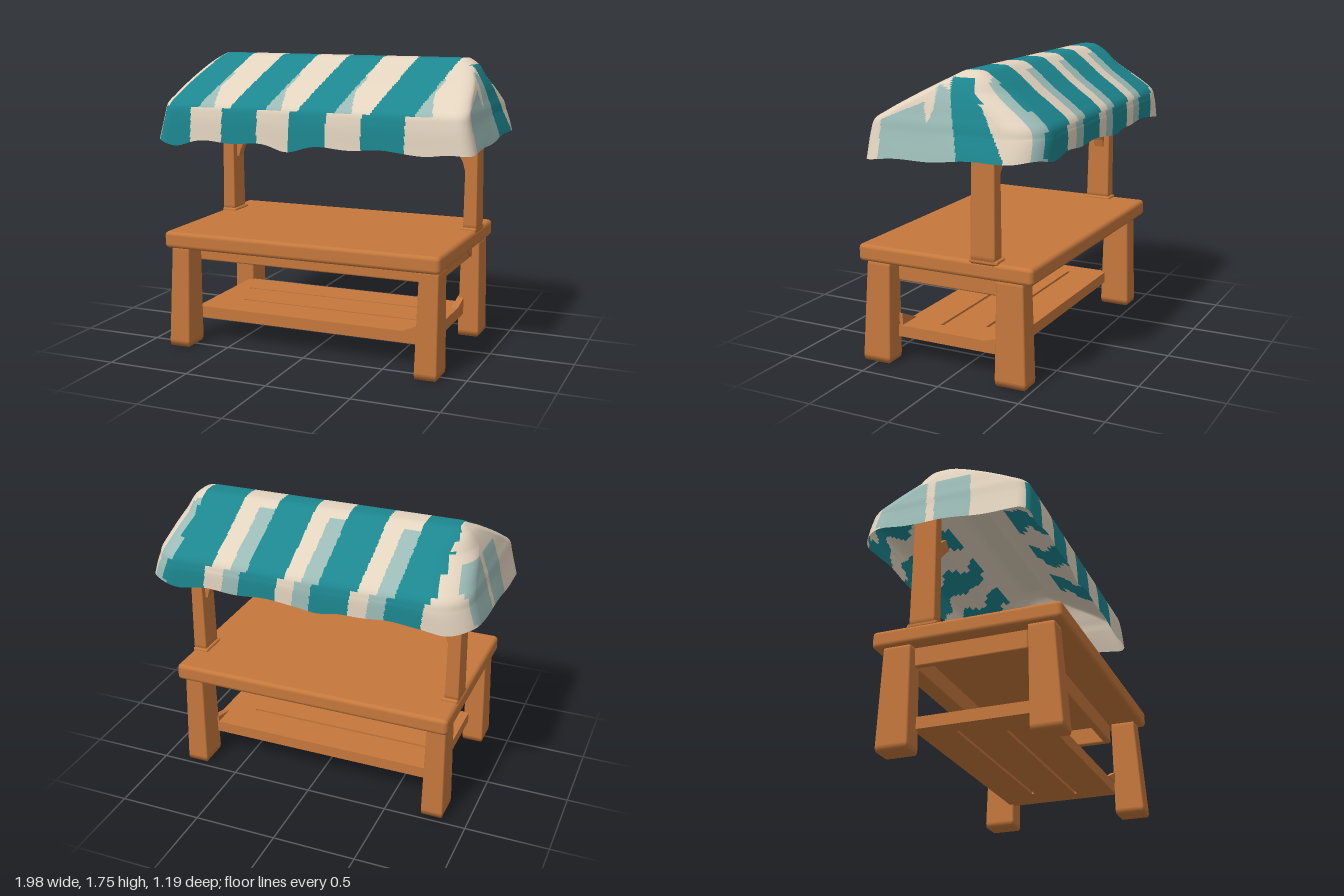
import * as THREE from 'three';
import { mergeVertices } from 'three/addons/utils/BufferGeometryUtils.js';
import { RoundedBoxGeometry } from 'three/addons/geometries/RoundedBoxGeometry.js';

const mat = (name, color) => {
  const m = new THREE.MeshStandardMaterial({ color });
  m.name = name;
  return m;
};

// Rows of the awning from ridge to hem: front z, back z, height, half length
const ROWS = [
  [-0.13, -0.13, 1.745, 0.785], [-0.07, -0.19, 1.74, 0.8], [0.0, -0.25, 1.705, 0.845],
  [0.19, -0.38, 1.605, 0.9], [0.36, -0.52, 1.51, 0.93], [0.432, -0.575, 1.46, 0.945],
  [0.45, -0.588, 1.4, 0.955], [0.462, -0.593, 1.25, 0.99],
];

// One closed loop of the awning; each point also says which side it lies on
function awningRing(zf, zb, xe) {
  const depth = zf - zb;
  const rf = Math.min(0.07, depth * 0.4), rb = Math.min(0.19, depth * 0.4);
  const corners = [
    [xe - rf, zf - rf, rf, Math.PI / 2], [xe - rb, zb + rb, rb, 0],
    [-xe + rb, zb + rb, rb, -Math.PI / 2], [-xe + rf, zf - rf, rf, -Math.PI],
  ];
  const steps = [80, 220, 80, 220], sides = ['right', 'back', 'left', 'front'];
  const ring = [];
  corners.forEach(([cx, cz, r, a0], k) => {
    const at = (c, a) => [c[0] + c[2] * Math.cos(a), c[1] + c[2] * Math.sin(a)];
    for (let i = 0; i < 8; i++) {
      const a = a0 - (i / 8) * Math.PI / 2;
      ring.push([...at([cx, cz, r], a), i < 4 ? sides[(k + 3) % 4] : sides[k]]);
    }
    const end = a0 - Math.PI / 2;
    const p = at([cx, cz, r], end), q = at(corners[(k + 1) % 4], end);
    for (let i = 0; i < steps[k]; i++) {
      const t = i / steps[k];
      ring.push([p[0] + (q[0] - p[0]) * t, p[1] + (q[1] - p[1]) * t, sides[k]]);
    }
  });
  return ring;
}

const STRIPES = [[-0.8, -0.59], [-0.38, -0.15], [0.055, 0.285], [0.5, 0.76]];

// Cloth colour by place: 0 cream, 1 teal, 2 pale teal
function outerColor(x, y, z, side) {
  const drop = 1.745 - y;
  if (side === 'right') {
    const edge = -0.02 - drop * 0.24;
    if (y < 1.71 && z < edge && z > -0.14 - drop * 0.6) return 1;
    const roof = z > 0.1 ? 1.62 - z * 0.42 : z > 0.04 ? 1.46 + Math.abs(z - 0.07) * 3 : 1.66 + z * 0.4;
    return z >= edge && z < 0.36 && y < roof ? 2 : 0;
  }
  if (side === 'left') {
    const s = z - drop * 0.1;
    return y < 1.6 && ((s > -0.5 && s < -0.2) || (s > -0.15 && s < 0.07)) ? 2 : 0;
  }
  const front = side === 'front', valance = y < 1.45;
  const u = front ? x + (valance ? 0.16 : drop * 0.37) : x - drop * 0.12 - (valance ? 0.04 : 0);
  for (const [l, r] of STRIPES) {
    // The first stripe wraps the front corner
    const from = front && valance && l < -0.7 ? -1 : l;
    if (u > from && u < r) return 1;
    const pale = front
      ? (!valance && y < 1.64 ? 0.02 + 0.08 * THREE.MathUtils.clamp((1.56 - y) / 0.1, 0, 1) : 0)
      : (z < -0.24 ? 0.1 : 0);
    if (u >= r && u < r + pale) return 2;
  }
  return 0;
}

// Lining: the dye soaks through in ragged patches below the ridge
function liningColor(x, y, z, side) {
  if (side === 'left' || side === 'right' || y > 1.65) return 0;
  const ragged = 0.05 * Math.sin(y * 38 + x * 5) + 0.03 * Math.sin(y * 71 - x * 9);
  const u = x + (side === 'front' ? (1.745 - y) * 0.37 : 0) + ragged;
  return STRIPES.some(([l, r]) => u > l && u < r) ? 1 : 0;
}

// One skin of the awning; the lining is set inward and faces inside
function awningSkin(rows, inset, painter, inward) {
  const curve = (k) => new THREE.CatmullRomCurve3(ROWS.map((r) => new THREE.Vector3(r[k], r[2], r[3])));
  const frontCurve = curve(0), backCurve = curve(1);
  const pos = [], sides = [];
  const dip = (d) => Math.exp(-d * d * 90);
  let n = 0;
  for (let i = 0; i <= rows; i++) {
    const t = i / rows, gap = inset * (1 - t ** 8);
    const f = frontCurve.getPoint(t), b = backCurve.getPoint(t);
    const ring = awningRing(f.x, b.x, f.z);
    n = ring.length;
    const hang = THREE.MathUtils.smoothstep(t, 0.78, 1);
    ring.forEach(([x, z, side], j) => {
      // Uneven hem, higher toward the back
      const lift = 0.06 * THREE.MathUtils.clamp((0.45 - z) / 1.04, 0, 1);
      const wave = 0.006 * Math.sin(x * 17 + z * 14) - 0.03 * (dip(x + 0.12) + dip(x + 0.86)) - 0.015 * dip(x - 0.75);
      pos.push(x * (1 - gap), f.y + hang * (lift + wave) - gap, z - (z + 0.13) * gap * 2);
      if (i === 0) sides[j] = side;
    });
  }
  const lists = [[], [], []];
  const mid = (ids, k) => ids.reduce((s, v) => s + pos[v * 3 + k], 0) / ids.length;
  for (let i = 0; i < rows; i++) {
    for (let j = 0; j < n; j++) {
      const a = i * n + j, b = i * n + (j + 1) % n, c = a + n, d = b + n;
      const q = [a, b, c, d];
      const list = lists[painter(mid(q, 0), mid(q, 1), mid(q, 2), sides[j])];
      if (inward) list.push(a, b, c, b, d, c);
      else list.push(a, c, b, b, c, d);
    }
  }
  const g = new THREE.BufferGeometry();
  g.setAttribute('position', new THREE.Float32BufferAttribute(pos, 3));
  g.setIndex(lists.flat());
  let start = 0;
  lists.forEach((l, k) => { g.addGroup(start, l.length, k); start += l.length; });
  // Close the seam along the ridge
  const closed = mergeVertices(g, 1e-4);
  closed.computeVertexNormals();
  return closed;
}

export function createModel() {
  const model = new THREE.Group();
  const wood = mat('wood', 0xc5783c);
  const cloth = [mat('creamCloth', 0xe2d3be), mat('tealCloth', 0x1c868f), mat('paleTealCloth', 0x9bbab5)];
  const add = (name, geo, material = wood) => {
    const m = new THREE.Mesh(geo, material);
    m.name = name;
    model.add(m);
    return m;
  };
  // Rounded beam between two corners
  const beam = (name, x0, x1, y0, y1, z0, z1, r = 0.01) => {
    const g = new RoundedBoxGeometry(x1 - x0, y1 - y0, z1 - z0, 2, r);
    g.translate((x0 + x1) / 2, (y0 + y1) / 2, (z0 + z1) / 2);
    return add(name, g);
  };
  // Upright whose section blends from a bottom [x0,x1,z0,z1] to a top one
  const upright = (name, y0, y1, bottom, top) => {
    const g = new RoundedBoxGeometry(1, 1, 1, 2, 0.06);
    const p = g.attributes.position;
    for (let i = 0; i < p.count; i++) {
      const t = p.getY(i) + 0.5;
      const [x0, x1, z0, z1] = bottom.map((v, k) => v + (top[k] - v) * t);
      p.setXYZ(i, x0 + (x1 - x0) * (p.getX(i) + 0.5), y0 + (y1 - y0) * t, z0 + (z1 - z0) * (p.getZ(i) + 0.5));
    }
    return add(name, g);
  };
  const mirrorX = ([x0, x1, z0, z1], s) => (s > 0 ? [x0, x1, z0, z1] : [-x1, -x0, z0, z1]);
  // Flat triangular block in the xy plane
  const wedge = (name, points, depth) => add(name, new THREE.ExtrudeGeometry(
    new THREE.Shape(points.map(([x, y]) => new THREE.Vector2(x, y))), { depth, bevelEnabled: false }));

  // Table top and rails beneath it
  beam('tableTop', -0.865, 0.86, 0.61, 0.712, -0.515, 0.6, 0.025);
  beam('frontRail', -0.76, 0.76, 0.5, 0.62, 0.34, 0.385);
  beam('backRail', -0.76, 0.76, 0.5, 0.62, -0.33, -0.285);
  for (const s of [-1, 1]) beam('sideRail', s * 0.76 - 0.02, s * 0.76 + 0.02, 0.5, 0.62, -0.32, 0.38);

  // Legs, posts and braces on both sides
  for (const s of [-1, 1]) {
    upright('frontLeg', 0, 0.63, mirrorX([0.715, 0.85, 0.41, 0.595], s), mirrorX([0.725, 0.84, 0.4, 0.55], s));
    upright('backLeg', 0, 0.63, mirrorX([0.715, 0.85, -0.47, -0.275], s), mirrorX([0.725, 0.84, -0.45, -0.285], s));
    upright('post', 0.69, 1.61, mirrorX([0.775, 0.86, -0.29, -0.135], s), mirrorX([0.785, 0.85, -0.285, -0.15], s));
    beam('postFoot', s * 0.81 - 0.05, s * 0.81 + 0.05, 0.7, 0.726, -0.305, -0.125, 0.01);
    const path = new THREE.QuadraticBezierCurve3(
      new THREE.Vector3(s * 0.8, 1.07, -0.22), new THREE.Vector3(s * 0.785, 1.19, -0.22), new THREE.Vector3(s * 0.6, 1.35, -0.22));
    const half = new THREE.Shape([[-0.03, -0.035], [0.03, -0.035], [0.03, 0.035], [-0.03, 0.035]]
      .map(([x, y]) => new THREE.Vector2(x, y)));
    add('postBrace', new THREE.ExtrudeGeometry(half, { steps: 6, extrudePath: path }));
  }

  // Lower shelf with two slits between its planks
  const rect = (P, x0, x1, y0, y1) => new P([[x0, y0], [x1, y0], [x1, y1], [x0, y1]].map(([x, y]) => new THREE.Vector2(x, y)));
  const shelf = rect(THREE.Shape, -0.75, 0.75, -0.41, 0.3);
  shelf.holes.push(rect(THREE.Path, -0.64, 0.55, 0.068, 0.086), rect(THREE.Path, -0.55, 0.64, -0.186, -0.168));
  const shelfGeo = new THREE.ExtrudeGeometry(shelf, { depth: 0.07, bevelEnabled: false });
  shelfGeo.rotateX(-Math.PI / 2);
  add('shelf', shelfGeo).position.y = 0.142;

  // Small gussets beside the legs
  wedge('shelfGusset', [[0.58, 0.21], [0.74, 0.21], [0.74, 0.285]], 0.03).position.z = 0.385;
  for (const [name, pts, x] of [
    ['legGusset', [[0.14, 0.615], [0.3, 0.5], [0.3, 0.615]], 0.755],
    ['shelfSideGusset', [[0.15, 0.21], [0.3, 0.21], [0.3, 0.25]], 0.71],
  ]) {
    const g = wedge(name, pts, 0.04);
    g.rotation.y = Math.PI / 2;
    g.position.x = x;
  }

  // Striped awning and its lining
  add('awning', awningSkin(70, 0, outerColor, false), cloth);
  add('awningLining', awningSkin(36, 0.012, liningColor, true), cloth);
  return model;
}
